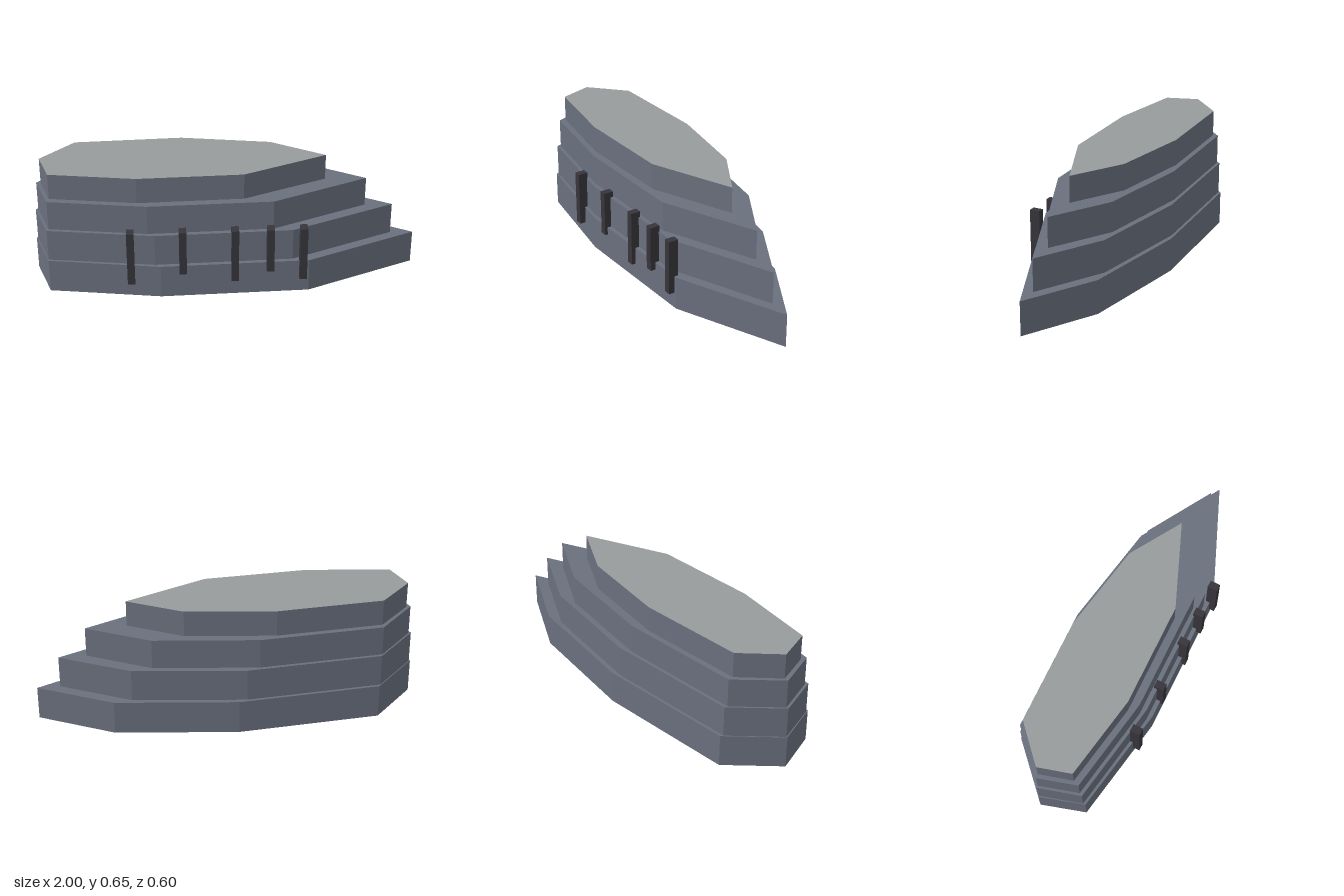
import * as THREE from 'three';

export function createModel() {
  const model = new THREE.Group();
  const mat = (name, color) => Object.assign(new THREE.MeshStandardMaterial({ color }), { name });
  const slate = mat('slate', 0x6a707e);
  const paleGrey = mat('pale grey', 0x989b9c);
  const charcoal = mat('charcoal', 0x37353b);

  // Each tier: bottom, top and its eight plan corners [x, z], from the pointed bow along the back
  const tiers = [
    { name: 'baseTier', y0: 0, y1: 0.182, plan: [[1, 0.018], [0.62, -0.198], [-0.016, -0.3],
      [-0.767, -0.268], [-1, -0.037], [-0.925, 0.198], [-0.348, 0.288], [0.42, 0.268]] },
    { name: 'lowerTier', y0: 0.182, y1: 0.355, plan: [[0.88, 0.014], [0.525, -0.187], [-0.06, -0.283],
      [-0.775, -0.253], [-0.993, -0.037], [-0.925, 0.185], [-0.375, 0.267], [0.335, 0.248]] },
    { name: 'upperTier', y0: 0.355, y1: 0.515, plan: [[0.735, 0.011], [0.415, -0.175], [-0.13, -0.262],
      [-0.78, -0.237], [-0.98, -0.037], [-0.916, 0.168], [-0.41, 0.244], [0.235, 0.228]] },
    { name: 'topTier', y0: 0.515, y1: 0.655, plan: [[0.52, 0.006], [0.245, -0.155], [-0.22, -0.23],
      [-0.78, -0.208], [-0.957, -0.037], [-0.905, 0.136], [-0.46, 0.205], [0.085, 0.19]] },
  ];
  tiers.forEach(({ name, y0, y1, plan }) => {
    const shape = new THREE.Shape(plan.map(([x, z]) => new THREE.Vector2(x, -z)));
    const geometry = new THREE.ExtrudeGeometry(shape, { depth: y1 - y0, bevelEnabled: false });
    geometry.rotateX(-Math.PI / 2);
    // Only the uppermost deck is pale
    const mesh = new THREE.Mesh(geometry, [name === 'topTier' ? paleGrey : slate, slate]);
    mesh.name = name;
    mesh.position.y = y0;
    model.add(mesh);
  });

  // Upright posts along the front side, alternately long and short
  const posts = new THREE.Group();
  posts.name = 'frontPosts';
  [-0.5, -0.233, 0.035, 0.217, 0.387].forEach((x, i) => {
    const bottom = i % 2 ? 0.14 : 0.088;
    const top = 0.387;
    const post = new THREE.Mesh(new THREE.BoxGeometry(0.038, top - bottom, 0.054), charcoal);
    post.name = 'post' + (i + 1);
    post.position.set(x, (top + bottom) / 2, 0.273);
    posts.add(post);
  });
  model.add(posts);
  return model;
}
